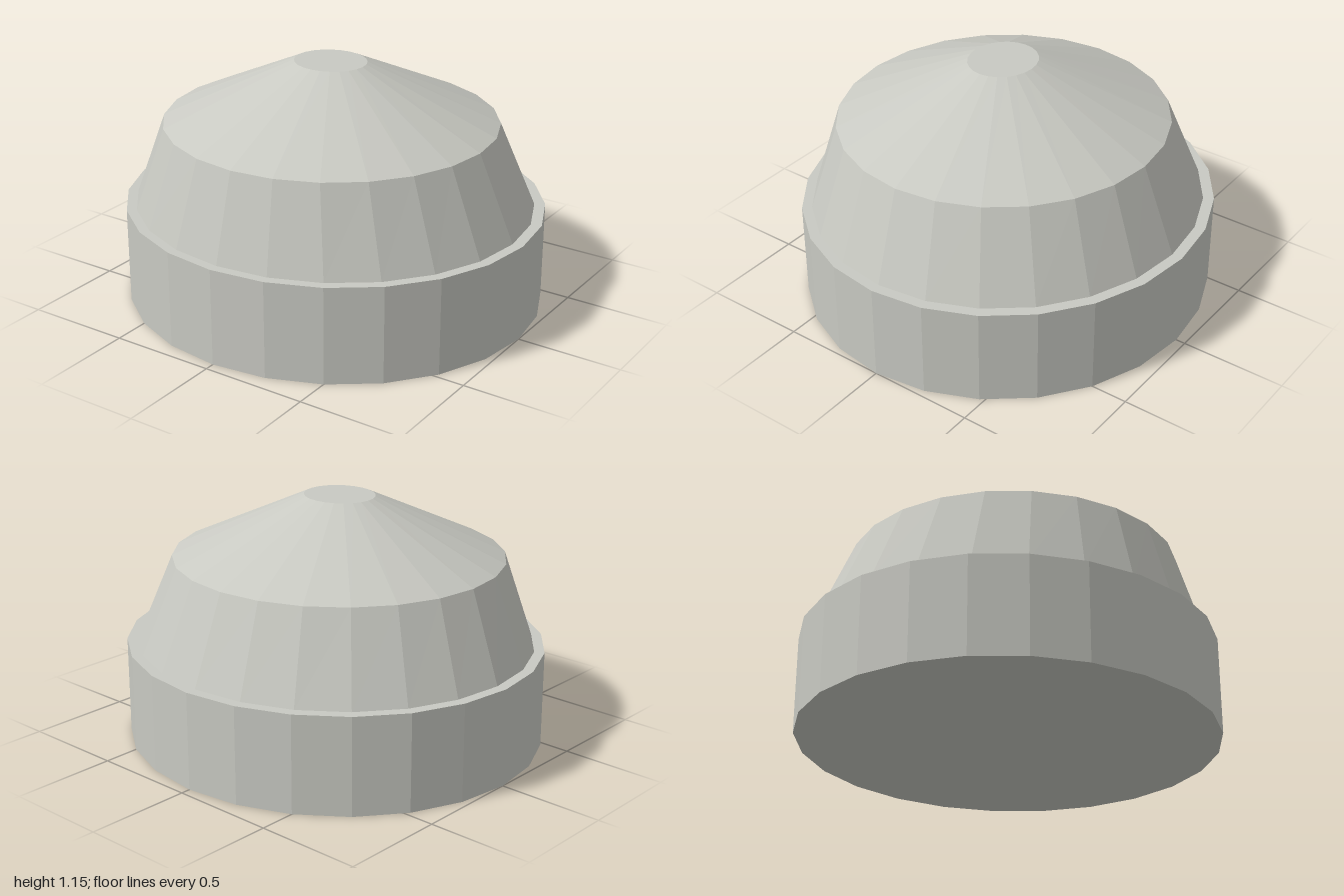
import * as THREE from 'three';

const SIDES = 24;

// Faceted elliptical frustum between two rings, each { y, rx, rz, z }
function frustum(name, lower, upper, openEnded, material) {
  const geometry = new THREE.CylinderGeometry(1, 1, 1, SIDES, 1, openEnded);
  const p = geometry.attributes.position;
  for (let i = 0; i < p.count; i++) {
    const ring = p.getY(i) > 0 ? upper : lower;
    p.setXYZ(i, p.getX(i) * ring.rx, ring.y, p.getZ(i) * ring.rz + ring.z);
  }
  geometry.computeVertexNormals();
  const mesh = new THREE.Mesh(geometry, material);
  mesh.name = name;
  return mesh;
}

export function createModel() {
  const group = new THREE.Group();
  group.name = 'cappedDome';

  const paleGrey = new THREE.MeshStandardMaterial({ color: 0xc8c9c2, flatShading: true });
  paleGrey.name = 'paleGrey';

  // Rings from the ground up; the upper ones sit slightly towards the front
  const foot = { y: 0, rx: 1, rz: 0.955, z: 0 };
  const rim = { y: 0.46, rx: 1, rz: 0.955, z: 0 };
  const wallFoot = { y: 0.46, rx: 0.95, rz: 0.907, z: 0.003 };
  const shoulder = { y: 0.863, rx: 0.785, rz: 0.767, z: 0.028 };
  const crown = { y: 1.146, rx: 0.173, rz: 0.157, z: 0.033 };

  group.add(
    frustum('base', foot, rim, false, paleGrey),
    frustum('slopedWall', wallFoot, shoulder, true, paleGrey),
    frustum('roof', shoulder, crown, false, paleGrey),
  );
  return group;
}
